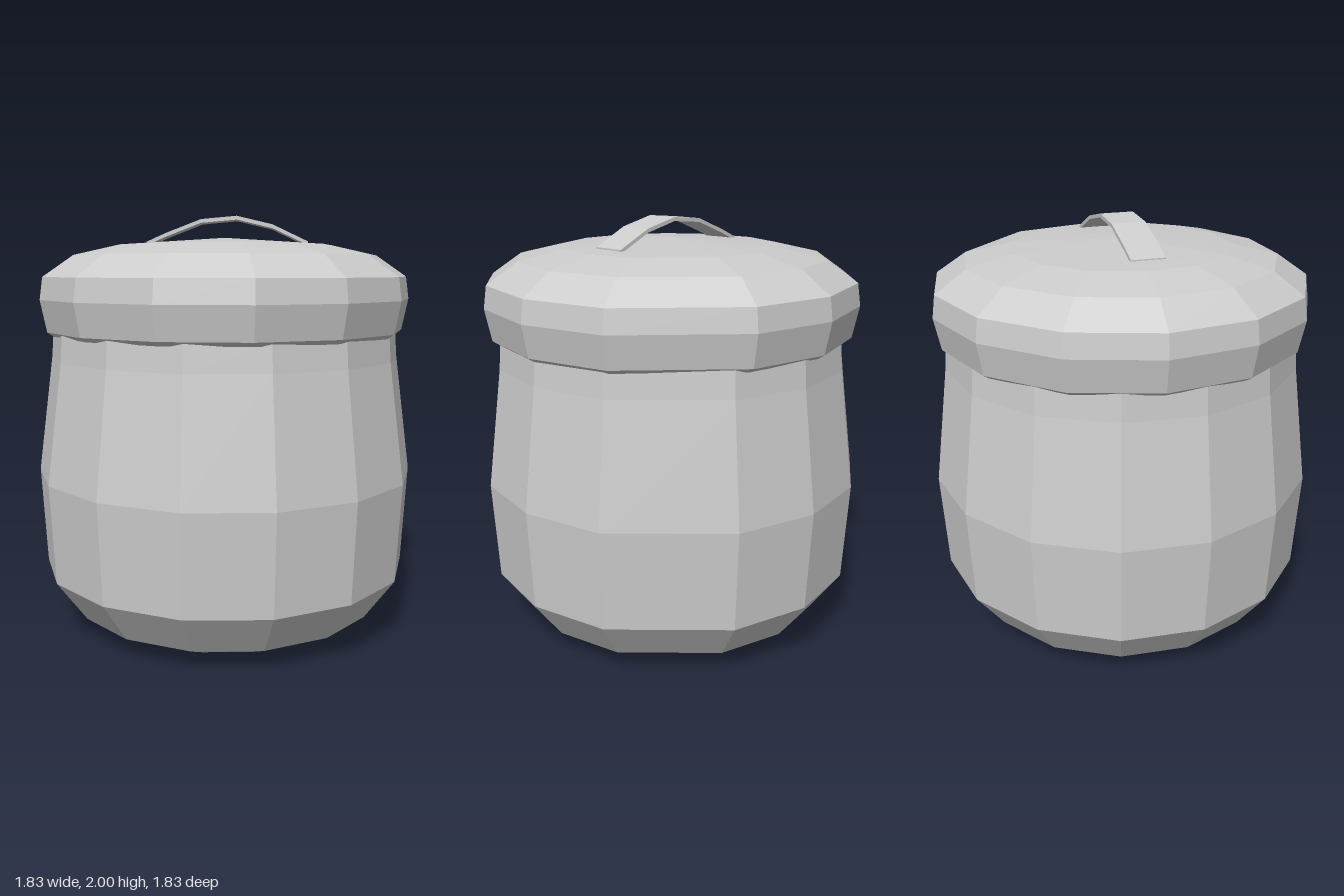
import * as THREE from 'three';

const material = new THREE.MeshStandardMaterial({ color: 0xcccccc, flatShading: true, side: THREE.DoubleSide });

// Faceted turned solid: n sides of equal step, except one (the second) that is half as wide again.
function turned(name, n, profile) {
  const step = (2 * Math.PI) / (n + 0.5);
  const angle = (i) => (i < 2 ? i : i + 0.5) * step;
  const point = ([r, y], i) => [r * Math.cos(angle(i % n)), y, -r * Math.sin(angle(i % n))];
  const positions = [];
  for (let j = 0; j < profile.length - 1; j++) {
    const low = profile[j], high = profile[j + 1];
    for (let i = 0; i < n; i++) {
      const a = point(low, i), b = point(low, i + 1), c = point(high, i + 1), d = point(high, i);
      if (low[0] > 0) positions.push(...a, ...b, ...c);
      if (low[0] === 0) positions.push(...a, ...c, ...d);
      else if (high[0] > 0) positions.push(...a, ...c, ...d);
    }
  }
  const geometry = new THREE.BufferGeometry();
  geometry.setAttribute('position', new THREE.Float32BufferAttribute(positions, 3));
  geometry.computeVertexNormals();
  const mesh = new THREE.Mesh(geometry, material);
  mesh.name = name;
  return mesh;
}

// Flat strap bent into an arch, of constant thickness
function strap(name, path, thickness, width) {
  const shape = new THREE.Shape();
  path.forEach(([x, y], i) => (i ? shape.lineTo(x, y) : shape.moveTo(x, y)));
  [...path].reverse().forEach(([x, y]) => shape.lineTo(x, y - thickness));
  shape.closePath();
  const geometry = new THREE.ExtrudeGeometry(shape, { depth: width, bevelEnabled: false });
  geometry.translate(0, 0, -width / 2);
  const mesh = new THREE.Mesh(geometry, material);
  mesh.name = name;
  return mesh;
}

export function createModel() {
  const group = new THREE.Group();
  group.name = 'liddedJar';

  // Jar body with a flat base and narrowing neck
  group.add(turned('body', 14, [
    [0, 0], [0.53, 0], [0.75, 0.1], [0.895, 0.3], [0.92, 0.77], [0.845, 1.33], [0.835, 1.46],
  ]));

  // Domed lid overhanging the neck
  group.add(turned('lid', 13, [
    [0.78, 1.44], [0.835, 1.44], [0.865, 1.46], [0.895, 1.61], [0.88, 1.715], [0.735, 1.815], [0.515, 1.865], [0, 1.9],
  ]));

  // Arched handle across the lid
  group.add(strap('handle', [
    [-0.37, 1.88], [-0.28, 1.92], [-0.11, 1.985], [0.06, 2], [0.23, 1.96], [0.4, 1.88],
  ], 0.018, 0.16));

  return group;
}
